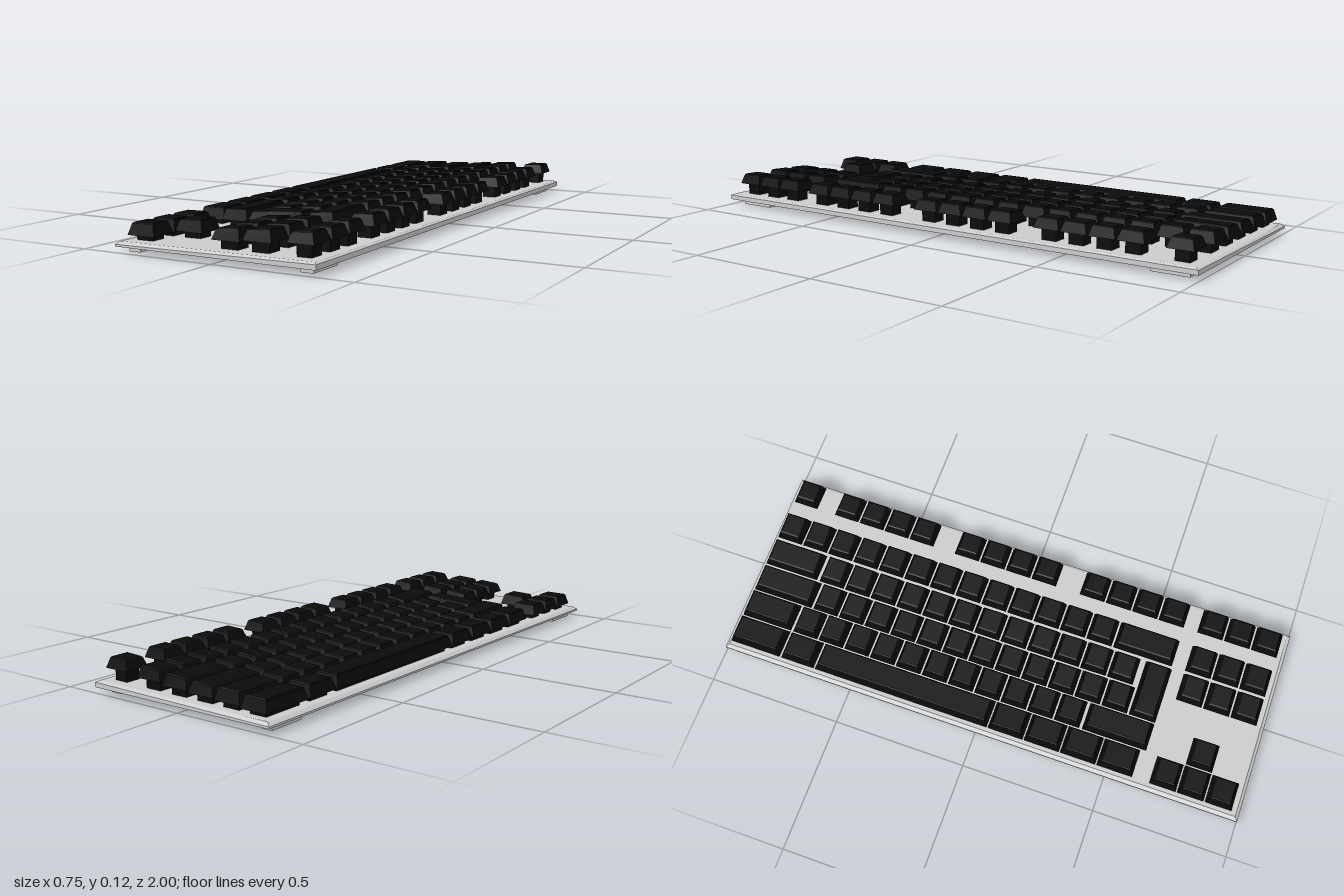
import * as THREE from 'three';

// Stack of rectangles [x0, x1, z0, z1, y at x0, y at x1], lofted and closed
function loft(rects) {
  const rings = rects.map(([x0, x1, z0, z1, ya, yb]) =>
    [[x0, ya, z0], [x0, ya, z1], [x1, yb, z1], [x1, yb, z0]]);
  const pos = [];
  const quad = (a, b, c, d) => pos.push(...a, ...b, ...c, ...a, ...c, ...d);
  const first = rings[0], last = rings[rings.length - 1];
  quad(first[3], first[2], first[1], first[0]);
  quad(...last);
  for (let k = 0; k + 1 < rings.length; k++) {
    for (let i = 0; i < 4; i++) {
      const j = (i + 1) % 4;
      quad(rings[k][i], rings[k][j], rings[k + 1][j], rings[k + 1][i]);
    }
  }
  const g = new THREE.BufferGeometry();
  g.setAttribute('position', new THREE.Float32BufferAttribute(pos, 3));
  g.computeVertexNormals();
  return g;
}

// Key rows, space bar row first: x range, skirt height, top height at both sides
const ROWS = [
  { name: 'spaceRow', x0: -0.348, x1: -0.243, base: 0.054, ya: 0.095, yb: 0.096 },
  { name: 'lowerLetterRow', x0: -0.24, x1: -0.135, base: 0.06, ya: 0.099, yb: 0.102 },
  { name: 'homeRow', x0: -0.131, x1: -0.026, base: 0.064, ya: 0.099, yb: 0.104 },
  { name: 'upperLetterRow', x0: -0.02, x1: 0.085, base: 0.069, ya: 0.104, yb: 0.110 },
  { name: 'numberRow', x0: 0.095, x1: 0.199, base: 0.076, ya: 0.112, yb: 0.117 },
  { name: 'functionRow', x0: 0.253, x1: 0.347, base: 0.084, ya: 0.119, yb: 0.122 },
];

// n equal keys filling z0..z1
const run = (z0, z1, n) => Array.from({ length: n }, (_, i) => {
  const s = (z1 - z0) / n;
  return [z0 + i * s + 0.003, z0 + (i + 1) * s - 0.003];
});
const trio = run(0.658, 0.97, 3);
const KEYS = [
  [[-0.98, -0.785], [-0.777, -0.648], [-0.641, 0.038], ...run(0.041, 0.598, 4), ...trio],
  [[-0.978, -0.783], ...run(-0.777, 0.362, 11), [0.37, 0.615], trio[1]],
  [[-0.978, -0.745], ...run(-0.74, 0.51, 12)],
  [[-0.978, -0.768], ...run(-0.76, 0.497, 12), ...trio],
  [...run(-0.98, 0.378, 13), [0.382, 0.61], ...trio],
  [[-0.973, -0.878], ...run(-0.807, -0.392, 4), ...run(-0.31, 0.106, 4),
    ...run(0.195, 0.611, 4), ...trio],
];

export function createModel() {
  const model = new THREE.Group();
  const grey = new THREE.MeshStandardMaterial({ color: 0xcccccc, flatShading: true });
  const black = new THREE.MeshStandardMaterial({ color: 0x0b0b0b, flatShading: true });

  const add = (parent, name, geometry, material) => {
    const m = new THREE.Mesh(geometry, material);
    m.name = name;
    parent.add(m);
    return m;
  };

  // Wedge-shaped base plate with a bevelled rim
  add(model, 'basePlate', loft([
    [-0.373, 0.373, -1, 1, 0.02, 0.02],
    [-0.373, 0.373, -1, 1, 0.027, 0.037],
    [-0.359, 0.364, -0.988, 0.988, 0.037, 0.042],
  ]), grey);

  // Four feet
  for (const x of [-0.327, 0.318]) {
    for (const z of [-0.892, 0.892]) {
      add(model, 'foot', new THREE.BoxGeometry(0.045, 0.021, 0.135), grey).position.set(x, 0.0105, z);
    }
  }

  // A key: tapered cap with a softened top edge on a narrow stem
  const addKey = (parent, r, z0, z1) => {
    const level = (inset, da) => [r.x0 + inset, r.x1 - inset, z0 + inset, z1 - inset, r.ya - da, r.yb - da];
    add(parent, 'keyCap', loft([
      [r.x0, r.x1, z0, z1, r.base, r.base],
      level(0.011, 0.003),
      level(0.015, 0),
    ]), black);
    const s = 0.021;
    add(parent, 'keyStem', loft([
      [r.x0 + s, r.x1 - s, z0 + s, z1 - s, 0.036, 0.036],
      [r.x0 + s, r.x1 - s, z0 + s, z1 - s, r.base + 0.01, r.base + 0.01],
    ]), black);
  };

  ROWS.forEach((row, i) => {
    const group = new THREE.Group();
    group.name = row.name;
    for (const [z0, z1] of KEYS[i]) addKey(group, row, z0, z1);
    model.add(group);
  });

  // Tall enter key spanning two rows
  const enter = new THREE.Group();
  enter.name = 'enterKey';
  addKey(enter, { x0: -0.131, x1: 0.085, base: 0.066, ya: 0.099, yb: 0.110 }, 0.515, 0.615);
  model.add(enter);

  return model;
}
